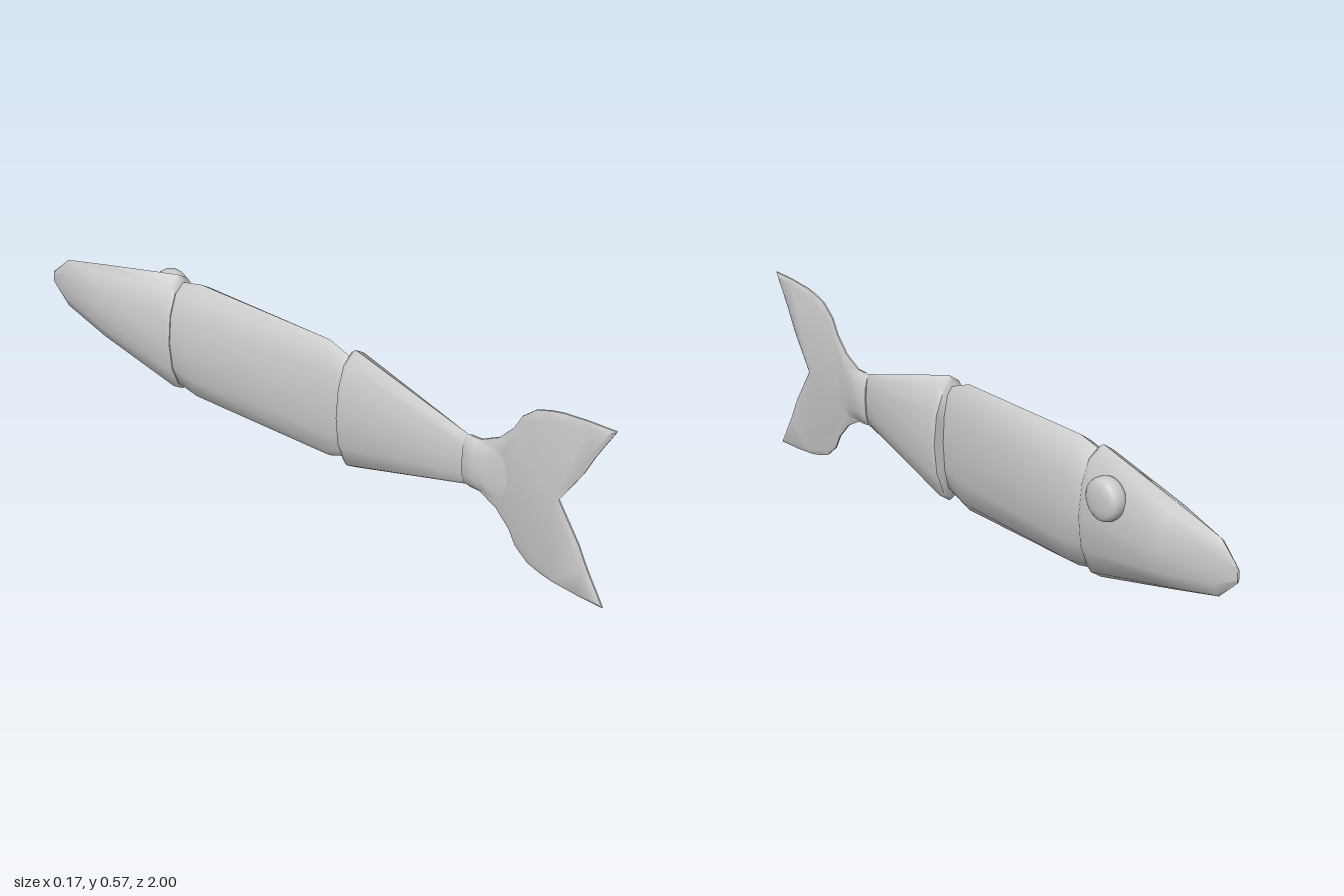
import * as THREE from 'three';
import { mergeVertices, toCreasedNormals } from 'three/addons/utils/BufferGeometryUtils.js';

const SIDES = 12;
const MID_X = -0.012; // centre line of the body
const MID_Y = 0.286;

const material = new THREE.MeshStandardMaterial({ color: 0xcccccc });

// Closed loft through elliptical rings given as [z, half width, half height]
function loft(rings) {
  const positions = [];
  const index = [];
  for (const [z, rx, ry] of rings) {
    for (let j = 0; j < SIDES; j++) {
      const a = (j / SIDES) * Math.PI * 2;
      positions.push(rx * Math.sin(a), ry * Math.cos(a), z);
    }
  }
  const last = rings.length - 1;
  const startCap = rings.length * SIDES;
  positions.push(0, 0, rings[0][0], 0, 0, rings[last][0]);
  for (let j = 0; j < SIDES; j++) {
    const k = (j + 1) % SIDES;
    for (let i = 0; i < last; i++) {
      const a = i * SIDES;
      const b = a + SIDES;
      index.push(a + j, b + j, a + k, a + k, b + j, b + k);
    }
    index.push(startCap, j, k);
    index.push(startCap + 1, last * SIDES + k, last * SIDES + j);
  }
  const geometry = new THREE.BufferGeometry();
  geometry.setAttribute('position', new THREE.Float32BufferAttribute(positions, 3));
  geometry.setIndex(index);
  return toCreasedNormals(geometry, 1.1);
}

// Thin forked plate with bevelled edges, outline mirrored about the centre line
function forkedPlate() {
  const upper = [
    [0.555, 0.084], [0.59, 0.085], [0.645, 0.115], [0.69, 0.165], [0.714, 0.212],
    [0.757, 0.25], [0.8, 0.265], [0.84, 0.274], [0.917, 0.281], [1, 0.284],
    [0.944, 0.182], [0.912, 0.114],
  ];
  const lower = upper.map(([z, y]) => [z, -y]).reverse();
  const outline = [...upper, [0.842, 0], ...lower].reverse();
  const shape = new THREE.Shape(outline.map(([z, y]) => new THREE.Vector2(z, y)));
  const depth = 0.005;
  const geometry = new THREE.ExtrudeGeometry(shape, {
    depth, bevelEnabled: true, bevelThickness: 0.006,
    bevelSize: 0.014, bevelOffset: -0.014, bevelSegments: 1,
  });
  geometry.translate(0, 0, -depth / 2);
  geometry.rotateY(-Math.PI / 2);
  geometry.deleteAttribute('uv');
  geometry.deleteAttribute('normal');
  return toCreasedNormals(mergeVertices(geometry, 1e-4), 0.8);
}

export function createModel() {
  const group = new THREE.Group();
  const add = (name, geometry, x = MID_X, y = MID_Y, z = 0) => {
    const mesh = new THREE.Mesh(geometry, material);
    mesh.name = name;
    mesh.position.set(x, y, z);
    group.add(mesh);
    return mesh;
  };

  // Head, blunt at the snout with a rounded rear lip
  add('head', loft([
    [-1, 0.004, 0.02], [-0.935, 0.022, 0.083], [-0.77, 0.058, 0.126],
    [-0.49, 0.074, 0.196], [-0.472, 0.07, 0.182],
  ]));

  // Middle segment, narrowing in width toward the rear
  add('body', loft([
    [-0.48, 0.066, 0.172], [-0.462, 0.068, 0.18], [-0.4, 0.072, 0.195],
    [0.07, 0.041, 0.195], [0.155, 0.034, 0.162],
  ]));

  // Rear segment, tapering from a wide lip to the fin
  add('tailSegment', loft([
    [0.145, 0.068, 0.182], [0.16, 0.074, 0.196], [0.545, 0.012, 0.082],
  ]));

  // Fin: rounded root blending into a thin forked plate
  add('finRoot', loft([
    [0.538, 0.018, 0.08], [0.55, 0.023, 0.084], [0.575, 0.025, 0.084],
    [0.605, 0.02, 0.086], [0.65, 0.0115, 0.11], [0.7, 0.007, 0.14],
  ]));
  add('tailFin', forkedPlate());

  // Single eye, a rounded button on the left side
  const eyeProfile = [
    [0, 0.024], [0.045, 0.026], [0.058, 0.034], [0.062, 0.048], [0.062, 0.064],
    [0.058, 0.075], [0.048, 0.083], [0.028, 0.087], [0, 0.088],
  ].map(([r, h]) => new THREE.Vector2(r, h));
  const eye = add('eye', new THREE.LatheGeometry(eyeProfile, 24), 0, 0.372, -0.575);
  eye.rotation.z = -Math.PI / 2;

  return group;
}
